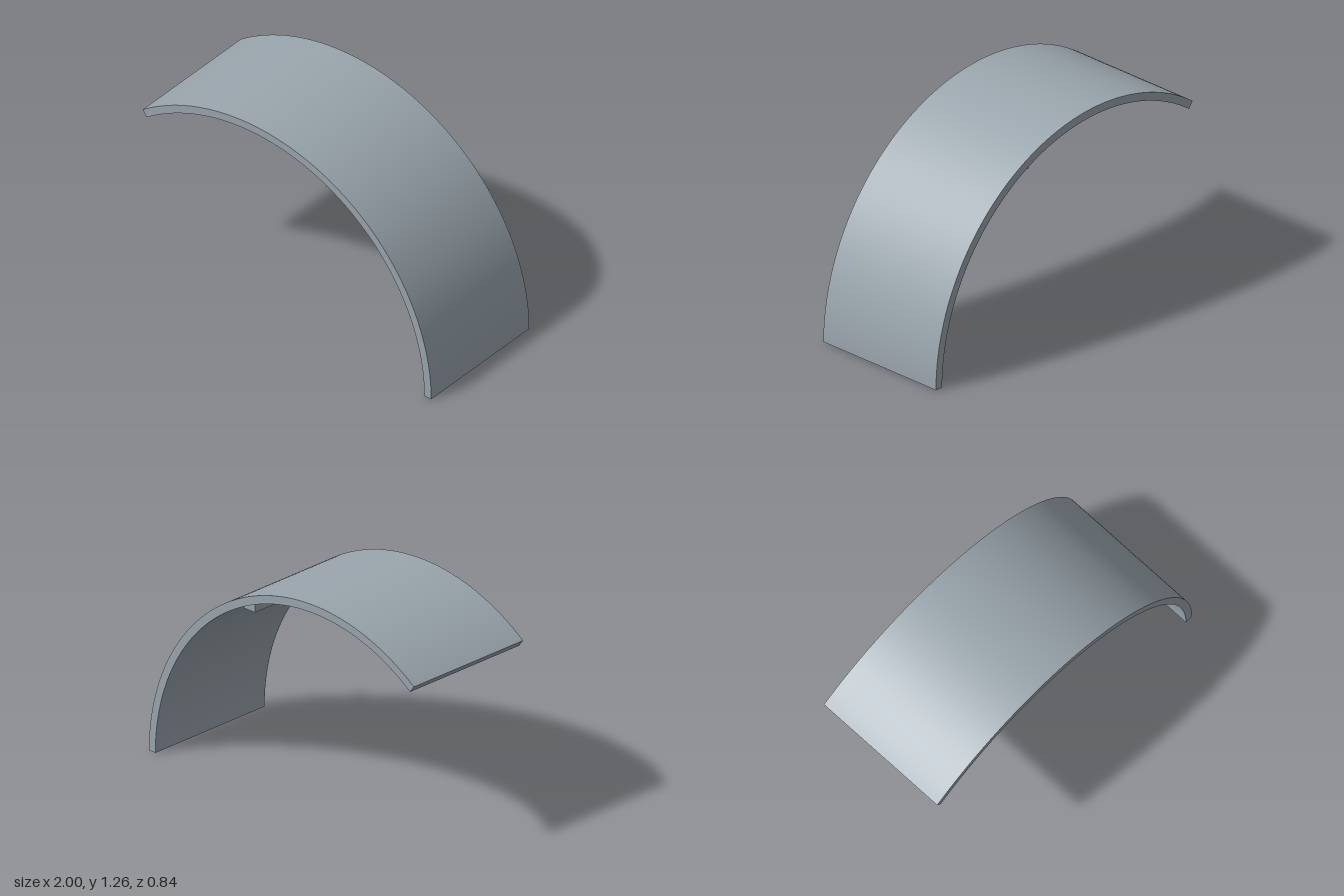
import * as THREE from 'three';
import { toCreasedNormals } from 'three/addons/utils/BufferGeometryUtils.js';

const WIDTH = 0.84;
const OUTER = 1.26;
const INNER = 1.212;
const CENTRE_X = -0.26;
const SWEEP = THREE.MathUtils.degToRad(126);

export function createModel() {
  const group = new THREE.Group();
  group.name = 'curvedPanel';
  const steel = new THREE.MeshStandardMaterial({ color: 0x9aa5ad });
  steel.name = 'steel grey';

  // Curved shell: a ring section extruded along z
  const section = new THREE.Shape();
  section.absarc(0, 0, OUTER, 0, SWEEP, false);
  section.absarc(0, 0, INNER, SWEEP, 0, true);
  section.closePath();
  const shellGeometry = new THREE.ExtrudeGeometry(section, {
    depth: WIDTH,
    bevelEnabled: false,
    curveSegments: 64,
  });
  shellGeometry.translate(CENTRE_X, 0, -WIDTH / 2);
  const shell = new THREE.Mesh(toCreasedNormals(shellGeometry, Math.PI / 6), steel);
  shell.name = 'curvedShell';
  group.add(shell);

  // Rail under the shell, inset a little from both edges
  const rail = new THREE.Mesh(new THREE.BoxGeometry(0.082, 0.05, 0.76), steel);
  rail.name = 'innerRail';
  rail.position.set(0.279, 1.074, 0);
  group.add(rail);

  return group;
}
